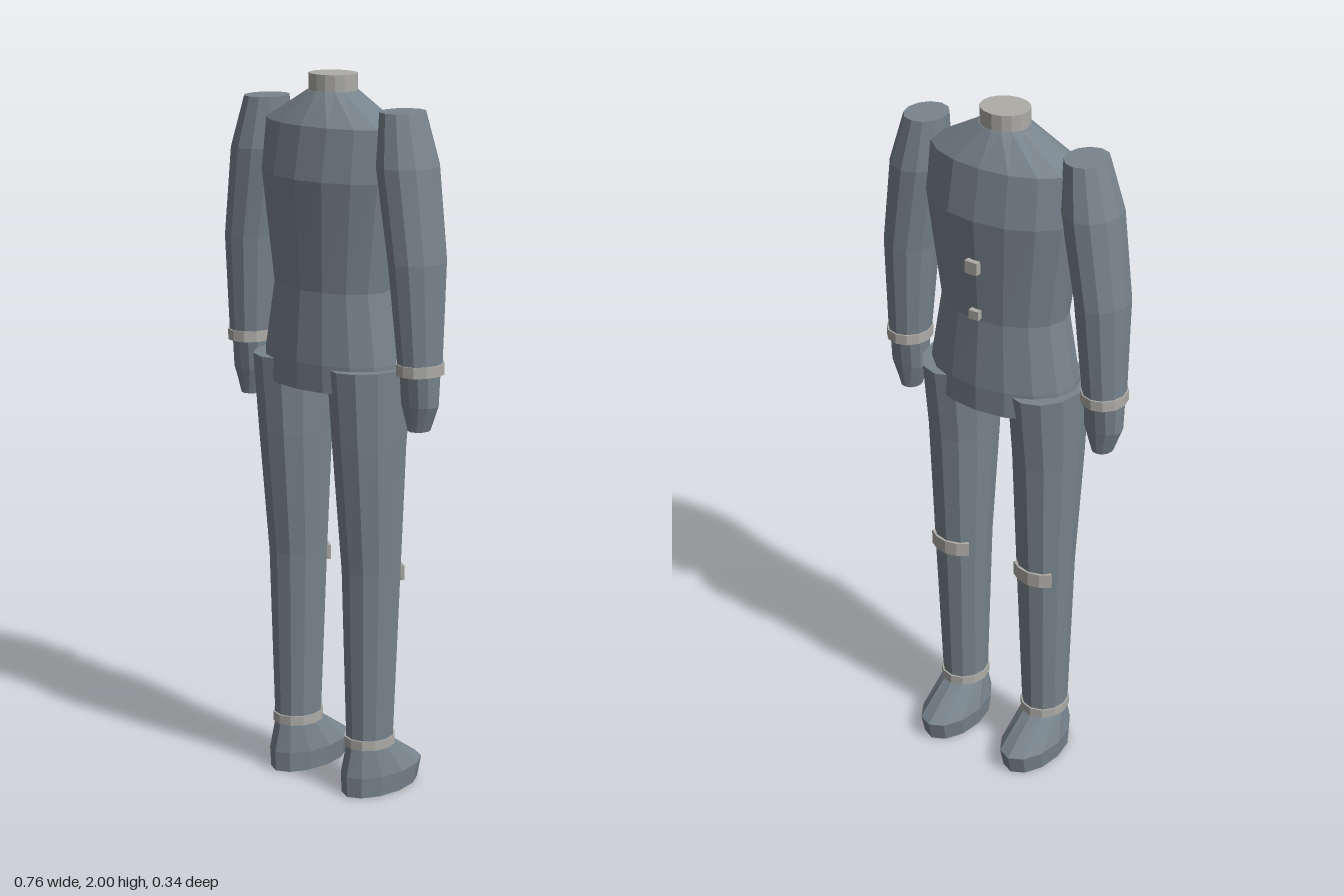
import * as THREE from 'three';

const suit = new THREE.MeshStandardMaterial({ color: 0x78848d });
suit.name = 'slate grey';
const trim = new THREE.MeshStandardMaterial({ color: 0xadaca7 });
trim.name = 'light warm grey';

const CZ = 0.02; // depth of the body axis

// Closed, faceted body through elliptical rings [y, cx, cz, rx, rz], listed bottom to top
function loft(rings, sides) {
  const pos = [], idx = [];
  for (const [y, cx, cz, rx, rz] of rings) {
    for (let i = 0; i < sides; i++) {
      const a = (i / sides) * Math.PI * 2;
      pos.push(cx + rx * Math.sin(a), y, cz + rz * Math.cos(a));
    }
  }
  const last = rings.length - 1;
  const base = pos.length / 3;
  for (const k of [0, last]) pos.push(rings[k][1], rings[k][0], rings[k][2]);
  for (let i = 0; i < sides; i++) {
    const j = (i + 1) % sides;
    for (let k = 0; k < last; k++) {
      const a = k * sides + i, b = k * sides + j;
      idx.push(a, b, b + sides, a, b + sides, a + sides);
    }
    idx.push(base, j, i);
    idx.push(base + 1, last * sides + i, last * sides + j);
  }
  const g = new THREE.BufferGeometry();
  g.setAttribute('position', new THREE.Float32BufferAttribute(pos, 3));
  g.setIndex(idx);
  const flat = g.toNonIndexed();
  flat.computeVertexNormals();
  return flat;
}

function add(group, name, geometry, material) {
  const mesh = new THREE.Mesh(geometry, material);
  mesh.name = name;
  group.add(mesh);
  return mesh;
}

// Curved strap wrapped round the -z side of a leg
function strapGeometry(rx, rz, thickness, height, halfAngle) {
  const steps = 4, outer = [], inner = [];
  for (let i = 0; i <= steps; i++) {
    const a = -halfAngle + (2 * halfAngle * i) / steps;
    outer.push(new THREE.Vector2((rx + thickness) * Math.sin(a), (rz + thickness) * Math.cos(a)));
    inner.push(new THREE.Vector2(rx * Math.sin(a), rz * Math.cos(a)));
  }
  const shape = new THREE.Shape([...outer, ...inner.reverse()]);
  const g = new THREE.ExtrudeGeometry(shape, { depth: height, bevelEnabled: false });
  g.rotateX(-Math.PI / 2); // shape y becomes -z, depth becomes y
  return g;
}

function makeArm(s) {
  const arm = new THREE.Group();
  arm.name = s > 0 ? 'leftArm' : 'rightArm';
  add(arm, 'sleeve', loft([
    [1.24, s * 0.318, CZ, 0.058, 0.064],
    [1.53, s * 0.306, CZ, 0.072, 0.088],
    [1.78, s * 0.270, CZ, 0.080, 0.093],
    [1.92, s * 0.250, CZ, 0.058, 0.068],
  ], 12), suit);
  add(arm, 'cuff', loft([
    [1.23, s * 0.318, CZ, 0.063, 0.070],
    [1.26, s * 0.318, CZ, 0.063, 0.070],
  ], 12), trim);
  add(arm, 'hand', loft([
    [1.075, s * 0.316, CZ, 0.030, 0.033],
    [1.145, s * 0.318, CZ, 0.056, 0.042],
    [1.235, s * 0.318, CZ, 0.058, 0.050],
  ], 12), suit);
  return arm;
}

function makeLeg(s) {
  const leg = new THREE.Group();
  leg.name = s > 0 ? 'leftLeg' : 'rightLeg';
  const x = s * 0.14;
  add(leg, 'trouserLeg', loft([
    [0.155, x, CZ, 0.064, 0.071],
    [0.65, x, 0.016, 0.081, 0.087],
    [1.0, x, 0.024, 0.095, 0.112],
    [1.225, x, CZ, 0.103, 0.136],
  ], 12), suit);
  add(leg, 'ankleBand', loft([
    [0.138, x, CZ, 0.068, 0.077],
    [0.165, x, CZ, 0.068, 0.077],
  ], 12), trim);
  add(leg, 'shoe', loft([
    [0, x, -0.023, 0.075, 0.135],
    [0.058, x, -0.029, 0.081, 0.143],
    [0.142, x, CZ, 0.062, 0.072],
  ], 12), suit);
  const strap = add(leg, 'kneeStrap', strapGeometry(0.080, 0.082, 0.011, 0.042, 0.78), trim);
  strap.position.set(x, 0.612, 0.016);
  return leg;
}

export function createModel() {
  const model = new THREE.Group();
  model.name = 'headlessFigure';

  // Jacket, from hem to collar
  add(model, 'torso', loft([
    [1.16, 0, CZ, 0.225, 0.143],
    [1.235, 0, CZ, 0.222, 0.144],
    [1.43, 0, CZ, 0.188, 0.129],
    [1.73, 0, CZ, 0.232, 0.150],
    [1.87, 0, CZ, 0.222, 0.123],
    [1.955, 0, CZ, 0.072, 0.066],
  ], 16), suit);
  add(model, 'neck', loft([
    [1.94, 0, CZ, 0.069, 0.063],
    [2.0, 0, CZ, 0.069, 0.063],
  ], 16), trim);

  // Two buttons on the -z side
  for (const [y, z, w, h] of [[1.597, -0.126, 0.038, 0.036], [1.452, -0.115, 0.030, 0.026]]) {
    add(model, 'button', new THREE.BoxGeometry(w, h, 0.022), trim).position.set(0.004, y, z);
  }

  for (const s of [1, -1]) model.add(makeArm(s), makeLeg(s));
  return model;
}
